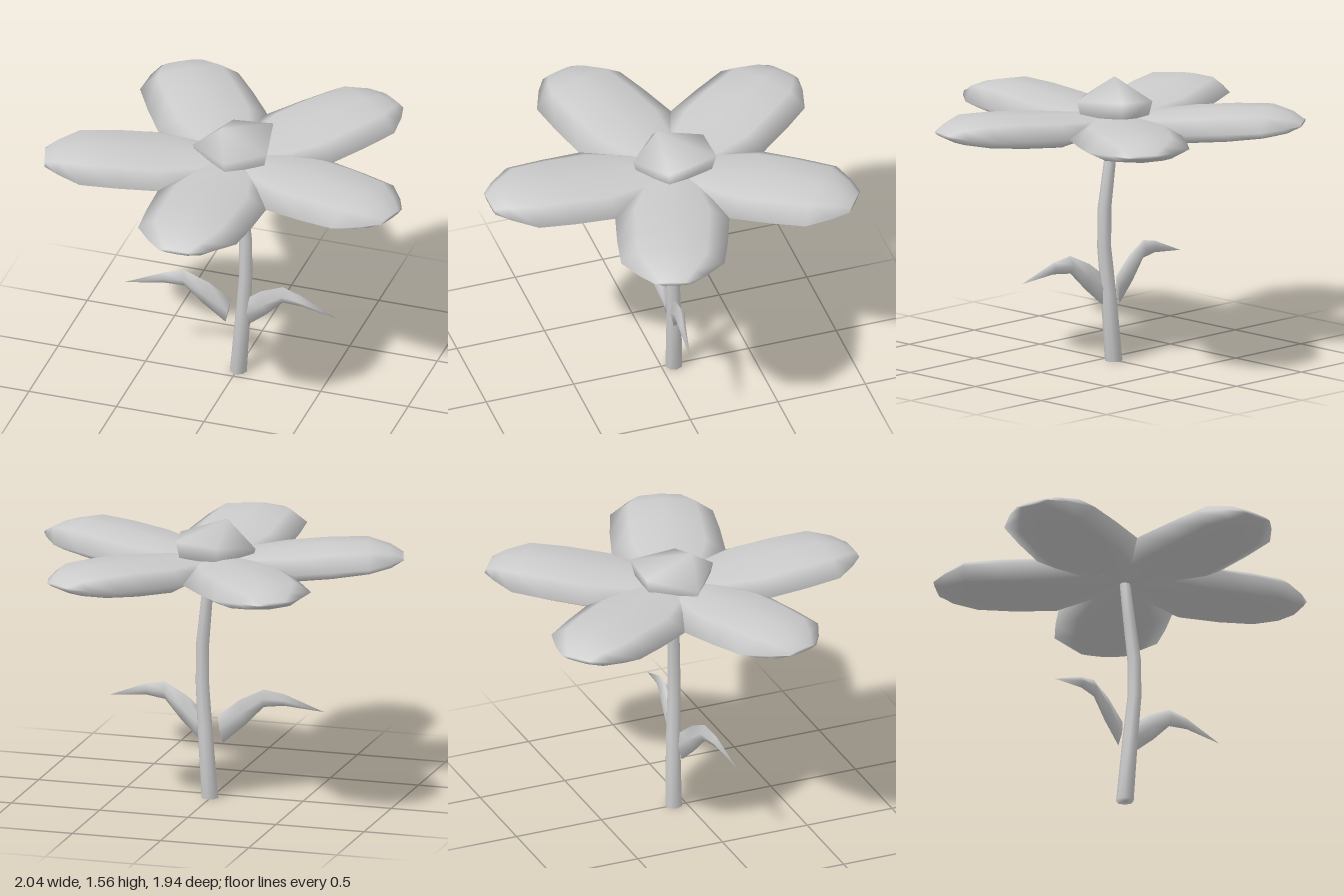
import * as THREE from 'three';

const material = new THREE.MeshStandardMaterial({ color: 0xcccccc });
const V = (x, y, z) => new THREE.Vector3(x, y, z);

// Closed smooth skin over rings of equal size; rings turn counter-clockwise about the travel direction.
function loft(name, rings, endPoint) {
  const n = rings[0].length;
  const middle = (ring) => ring.reduce((s, p) => s.add(p), V(0, 0, 0)).divideScalar(n);
  const last = rings[rings.length - 1];
  const points = [...rings.flat(), middle(rings[0]), endPoint || middle(last)];
  const start = rings.length * n, end = start + 1, top = start - n;
  const index = [];
  for (let j = 0; j < n; j++) {
    const k = (j + 1) % n;
    for (let i = 0; i < rings.length - 1; i++) {
      const a = i * n, b = a + n;
      index.push(a + j, a + k, b + k, a + j, b + k, b + j);
    }
    index.push(start, k, j, end, top + j, top + k);
  }
  const geometry = new THREE.BufferGeometry().setFromPoints(points);
  geometry.setIndex(index);
  geometry.computeVertexNormals();
  const mesh = new THREE.Mesh(geometry, material);
  mesh.name = name;
  return mesh;
}

// Plump petal pointing along +z
function petal() {
  const section = [[1, 0], [0.65, 0.8], [0, 1], [-0.65, 0.8], [-1, 0], [-0.65, -0.8], [0, -1], [0.65, -0.8]];
  // distance, half width, edge height, rise above, drop below
  const rows = [
    [0, 0.1, 1.36, 0.03, 0.05],
    [0.2, 0.22, 1.35, 0.045, 0.06],
    [0.42, 0.31, 1.34, 0.08, 0.08],
    [0.65, 0.3, 1.35, 0.09, 0.075],
    [0.85, 0.28, 1.36, 0.085, 0.06],
    [0.97, 0.18, 1.365, 0.05, 0.045],
    [1.04, 0.1, 1.365, 0.01, 0.01],
  ];
  return loft('petal', rows.map(([z, w, y, up, down]) =>
    section.map(([sx, sy]) => V(sx * w, y + sy * (sy > 0 ? up : down), z))));
}

// Arching leaf; side is +1 or -1
function leaf(side) {
  // upper edge x, y, lower edge x, y, middle z, half thickness
  const rows = [
    [0.03, 0.47, 0.06, 0.32, -0.05, 0.015],
    [0.15, 0.565, 0.18, 0.425, -0.03, 0.03],
    [0.28, 0.628, 0.28, 0.53, -0.01, 0.03],
    [0.39, 0.605, 0.39, 0.54, 0.01, 0.02],
  ];
  const rings = rows.map(([tx, ty, bx, by, z, t]) => {
    const mx = (tx + bx) / 2, my = (ty + by) / 2;
    const ring = [V(tx, ty, z), V(mx, my, z + t), V(bx, by, z), V(mx, my, z - t)];
    ring.forEach((p) => { p.x *= side; });
    return side > 0 ? ring : ring.reverse();
  });
  return loft(side > 0 ? 'leftLeaf' : 'rightLeaf', rings, V(0.61 * side, 0.515, 0.035));
}

// Bowed stem, thinning upward
function stem() {
  const rows = [
    [0.007, 0.015, -0.07, 0.048],
    [0.038, 0.4, -0.06, 0.042],
    [0.057, 0.65, -0.047, 0.038],
    [0.055, 0.87, -0.048, 0.037],
    [0.03, 1.1, -0.06, 0.033],
    [0.005, 1.32, -0.068, 0.029],
  ];
  const sides = 8;
  return loft('stem', rows.map(([x, y, z, r]) => Array.from({ length: sides }, (_, i) => {
    const a = (i / sides) * Math.PI * 2;
    return V(x + r * Math.cos(a), y, z - r * Math.sin(a));
  })), V(0.005, 1.33, -0.068));
}

// Five-sided pointed centre, slightly tilted
function flowerCentre() {
  const rim = [V(0.2, 1.47, 0.02), V(0.14, 1.49, -0.27), V(-0.09, 1.47, -0.27), V(-0.24, 1.42, -0.03), V(0, 1.45, 0.16)];
  const base = rim.map((p) => V(p.x * 0.85, p.y - 0.13, (p.z + 0.07) * 0.85 - 0.07));
  return loft('flowerCentre', [base, rim], V(-0.07, 1.57, 0));
}

export function createModel() {
  const model = new THREE.Group();
  model.name = 'flower';
  const petals = new THREE.Group();
  petals.name = 'petals';
  petals.position.z = -0.06;
  for (let i = 0; i < 5; i++) {
    const p = petal();
    p.rotation.y = (i * Math.PI * 2) / 5;
    petals.add(p);
  }
  model.add(stem(), petals, flowerCentre(), leaf(1), leaf(-1));
  return model;
}
